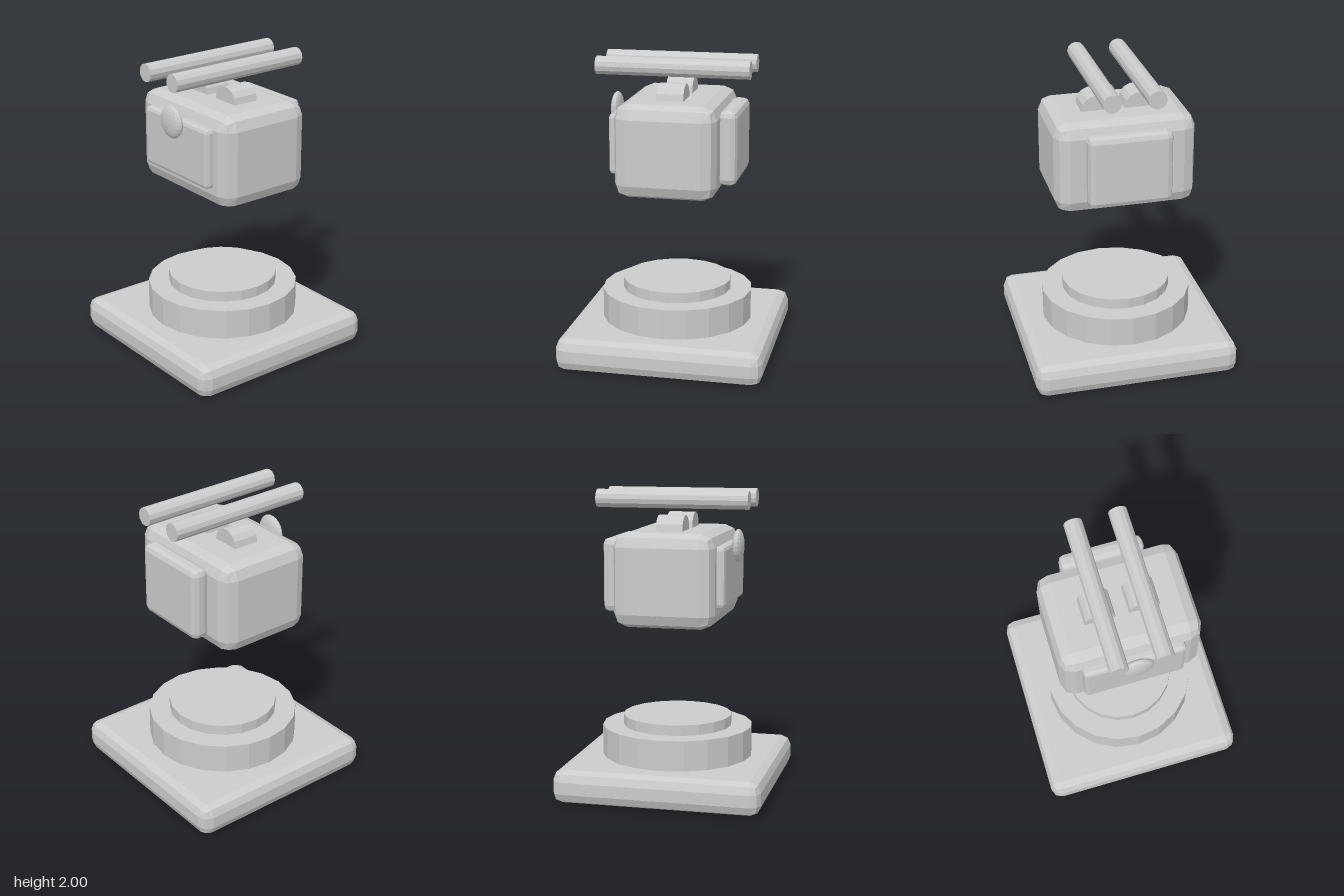
import * as THREE from 'three';
import { RoundedBoxGeometry } from 'three/addons/geometries/RoundedBoxGeometry.js';

const material = new THREE.MeshStandardMaterial({ color: 0xcccccc, flatShading: true });

export function createModel() {
  const model = new THREE.Group();
  model.name = 'deviceOnPedestal';

  const add = (name, geometry, x, y, z) => {
    const mesh = new THREE.Mesh(geometry, material);
    mesh.name = name;
    mesh.position.set(x, y, z);
    model.add(mesh);
    return mesh;
  };
  // Box with one-step softened edges
  const softBox = (w, h, d, r) => new RoundedBoxGeometry(w, h, d, 1, r);

  // Pedestal: square plinth with two stepped discs
  add('plinth', softBox(1.365, 0.22, 1.365, 0.07), 0, 0.11, 0);
  add('lowerDisc', new THREE.CylinderGeometry(0.505, 0.505, 0.2, 20), 0, 0.32, 0);
  add('upperDisc', new THREE.CylinderGeometry(0.365, 0.365, 0.07, 20), 0, 0.455, 0);

  // Floating body with front and back panels
  add('body', softBox(0.925, 0.61, 0.665, 0.09), 0, 1.435, 0);
  add('frontPanel', softBox(0.66, 0.395, 0.08, 0.025), 0, 1.458, 0.345);
  add('backPanel', softBox(0.55, 0.485, 0.12, 0.04), 0, 1.448, -0.38);

  // Flattened round button
  add('button', new THREE.SphereGeometry(0.108, 16, 12), 0, 1.635, 0.408).scale.z = 0.34;

  // Half-round saddle, flat side down, running along z
  const arch = new THREE.Shape();
  for (let i = 0; i <= 7; i++) {
    const a = (i / 7) * Math.PI;
    const point = [0.1 * Math.cos(a), 0.1 * Math.sin(a)];
    if (i === 0) arch.moveTo(...point);
    else arch.lineTo(...point);
  }
  const saddle = new THREE.ExtrudeGeometry(arch, { depth: 0.176, bevelEnabled: false });
  saddle.translate(0, 0, -0.088);
  const rod = new THREE.CylinderGeometry(0.06, 0.06, 1.01, 12).rotateX(Math.PI / 2);

  // Saddles and rods, mirrored left and right
  for (const [side, s] of [['left', 1], ['right', -1]]) {
    add(side + 'Saddle', saddle, s * 0.143, 1.74, 0);
    add(side + 'Rod', rod, s * 0.143, 1.94, 0);
  }
  return model;
}
